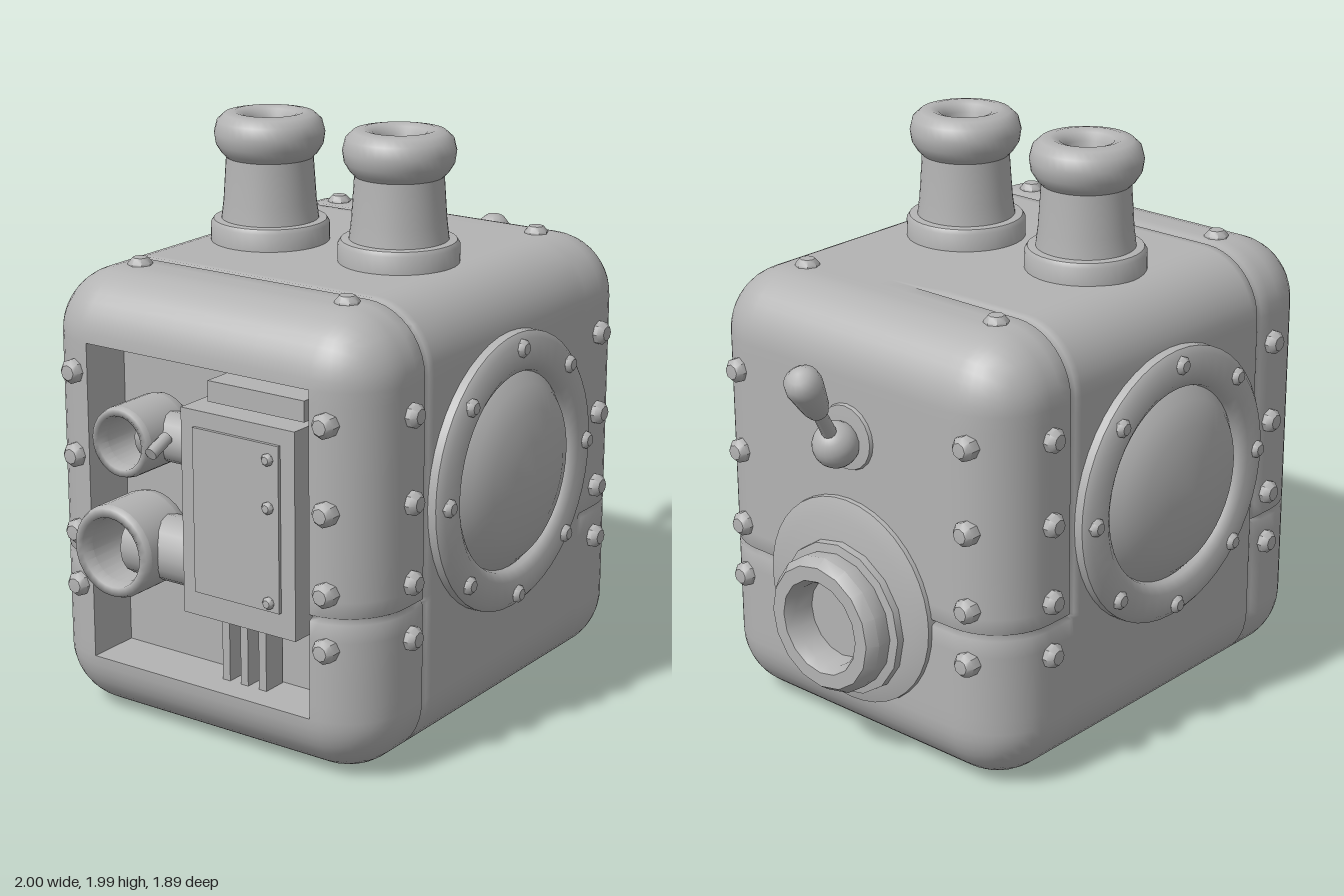
import * as THREE from 'three';
import { mergeVertices, toCreasedNormals } from 'three/addons/utils/BufferGeometryUtils.js';

const castMetal = new THREE.MeshStandardMaterial({ color: 0xb3b3b3 });
castMetal.name = 'castMetal';

const HALF = [0.82, 0.7725, 0.67], R = 0.22, MID = 0.7825; // body half sizes, edge radius, centre height
const INNER = HALF.map(h => h - R);
const SEAM = 0.49, SEAM_Y = 0.58 - MID;

// turn local +y to point along the given side of the body
const TURN = {
  up: [0, 0, 0], left: [0, 0, -Math.PI / 2], right: [0, 0, Math.PI / 2],
  front: [Math.PI / 2, 0, 0], back: [-Math.PI / 2, 0, 0],
};

function add(parent, name, geometry, pos = [0, 0, 0], side = 'up') {
  const mesh = new THREE.Mesh(geometry, castMetal);
  mesh.name = name;
  mesh.position.set(...pos);
  mesh.rotation.set(...TURN[side]);
  parent.add(mesh);
  return mesh;
}

function lathe(points, sides = 40) {
  const pts = points.map(p => new THREE.Vector2(...p));
  return toCreasedNormals(new THREE.LatheGeometry(pts, sides), 0.75);
}

// grid lines along one axis: fine in the rounded edges, with tight triples at seams
function gridLines(axis, seams) {
  const h = INNER[axis], lines = [];
  for (let i = 0; i <= 5; i++) {
    const c = h + R * Math.tan((i / 5) * Math.PI / 4);
    lines.push(-c, c);
  }
  lines.push(-h + 0.05, h - 0.05);
  for (let i = 1; i < 8; i++) lines.push(-h + (2 * h * i) / 8);
  const kept = lines.filter(v => !seams.some(s => Math.abs(v - s) < 0.03));
  for (const s of seams) kept.push(s - 0.011, s, s + 0.011);
  return kept.sort((a, b) => a - b);
}

// rounded box with seam grooves, a sunken underside and an opening in its right face
function bodyGeometry() {
  const lines = [gridLines(0, [-SEAM, SEAM]), gridLines(1, [SEAM_Y]), gridLines(2, [])];
  const positions = [], index = [];

  const place = p => {
    const c = p.map((v, i) => THREE.MathUtils.clamp(v, -INNER[i], INNER[i]));
    const n = new THREE.Vector3(p[0] - c[0], p[1] - c[1], p[2] - c[2]).normalize();
    const groove = p[0] === -SEAM
      || (p[0] === SEAM && p[2] < 0 && p[1] > SEAM_Y)
      || (p[1] === SEAM_Y && Math.abs(p[0]) >= SEAM);
    const q = n.multiplyScalar(groove ? R - 0.018 : R).add(new THREE.Vector3(...c));
    if (p[1] < -HALF[1] + 1e-6) {
      const rim = Math.min(INNER[0] - Math.abs(p[0]), INNER[2] - Math.abs(p[2]));
      q.y += 0.05 * THREE.MathUtils.smoothstep(rim, 0, 0.06);
    }
    positions.push(q.x, q.y + MID, q.z);
  };

  for (let d = 0; d < 3; d++) for (const s of [-1, 1]) {
    const u = (d + 1) % 3, v = (d + 2) % 3, U = lines[u], V = lines[v];
    const start = positions.length / 3;
    for (const b of V) for (const a of U) {
      const p = [0, 0, 0];
      p[d] = s * HALF[d]; p[u] = a; p[v] = b;
      place(p);
    }
    for (let j = 0; j < V.length - 1; j++) for (let i = 0; i < U.length - 1; i++) {
      const midU = (U[i] + U[i + 1]) / 2, midV = (V[j] + V[j + 1]) / 2;
      if (d === 0 && s < 0 && Math.abs(midU) < INNER[1] && Math.abs(midV) < INNER[2]) continue;
      const a = start + j * U.length + i, b = a + 1, e = a + U.length, c = e + 1;
      index.push(...(s > 0 ? [a, b, c, a, c, e] : [a, c, b, a, e, c]));
    }
  }
  const raw = new THREE.BufferGeometry();
  raw.setAttribute('position', new THREE.Float32BufferAttribute(positions, 3));
  raw.setIndex(index);
  const g = mergeVertices(raw, 1e-4);
  g.computeVertexNormals();
  return g;
}

// inside-out box without its outer face
function cavityGeometry(depth) {
  const g = new THREE.BoxGeometry(depth, INNER[1] * 2, INNER[2] * 2);
  g.scale(-1, 1, 1);
  g.setIndex(Array.from(g.index.array).slice(6));
  g.clearGroups();
  g.computeVertexNormals();
  return g;
}

export function createModel() {
  const model = new THREE.Group();
  model.name = 'boiler';
  model.rotation.y = 0.657;

  add(model, 'body', bodyGeometry());
  add(model, 'bottomDisc', lathe([[0.4, 0], [0.39, 0.012], [0.25, 0.03], [0, 0.04]]), [0, 0.055, 0]).rotation.x = Math.PI;

  // rivets in columns on all sides and at the corners of the top
  const rivet = lathe([[0.042, -0.02], [0.042, 0.016], [0.026, 0.034], [0, 0.036]], 8);
  for (const y of [0.48, 0.67, 0.94, 1.23]) for (const s of [-1, 1]) {
    for (const x of [-0.57, 0.59]) add(model, 'rivet', rivet, [x, y, s * HALF[2]], s > 0 ? 'front' : 'back');
    for (const z of [-0.51, 0.51]) add(model, 'rivet', rivet, [s * (HALF[0] - 0.004), y, z], s > 0 ? 'left' : 'right');
  }
  for (const x of [-0.57, 0.57]) for (const z of [-0.42, 0.42]) add(model, 'topRivet', rivet, [x, 1.545, z]);

  // portholes front and back
  const ring = lathe([[0.48, -0.02], [0.478, 0.03], [0.455, 0.05], [0.375, 0.055], [0.345, 0.035], [0.335, 0.0]], 48);
  const dome = lathe([[0.345, 0.01], [0.3, 0.052], [0.22, 0.085], [0.12, 0.108], [0, 0.116]], 48);
  for (const s of [-1, 1]) {
    const side = s > 0 ? 'front' : 'back', z = s * HALF[2];
    add(model, 'portholeRing', ring, [0, 0.89, z], side);
    add(model, 'portholeDome', dome, [0, 0.89, z], side);
    for (let i = 0; i < 8; i++) {
      const a = (i * Math.PI) / 4;
      add(model, 'ringRivet', rivet, [0.43 * Math.sin(a), 0.89 + 0.43 * Math.cos(a), z + s * 0.045], side).scale.setScalar(0.75);
    }
  }

  // two chimneys with rounded lips
  const chimney = lathe([
    [0.205, 0], [0.205, 0.07], [0.195, 0.085], [0.168, 0.087], [0.16, 0.15], [0.15, 0.3], [0.165, 0.315],
    [0.184, 0.345], [0.19, 0.385], [0.18, 0.425], [0.155, 0.448], [0.12, 0.455], [0.09, 0.445],
    [0.075, 0.42], [0.07, 0.3], [0, 0.3],
  ]);
  for (const z of [-0.285, 0.25]) add(model, 'chimney', chimney, [-0.03, 1.545, z]);

  // round outlet on the left face
  add(model, 'outletFlange', lathe([[0.365, -0.02], [0.36, 0.015], [0.3, 0.035], [0, 0.035]]), [HALF[0], 0.55, 0], 'left');
  add(model, 'outlet', lathe([
    [0.27, 0], [0.265, 0.06], [0.235, 0.065], [0.24, 0.12], [0.215, 0.155], [0.165, 0.155], [0.145, 0.12], [0.14, 0.05], [0, 0.05],
  ], 16), [HALF[0], 0.5, 0], 'left');

  // lever with ball joint
  add(model, 'leverPlate', lathe([[0.12, -0.02], [0.11, 0.012], [0, 0.02]], 20), [HALF[0], 1.13, 0], 'left');
  const lever = new THREE.Group();
  lever.name = 'lever';
  lever.position.set(0.875, 1.12, 0);
  lever.quaternion.setFromUnitVectors(new THREE.Vector3(0, 1, 0), new THREE.Vector3(0.21, 0.3, -0.07).normalize());
  model.add(lever);
  add(lever, 'leverBall', new THREE.SphereGeometry(0.078, 20, 14));
  add(lever, 'leverRod', new THREE.CylinderGeometry(0.022, 0.026, 0.24, 12), [0, 0.12, 0]);
  add(lever, 'leverHandle', lathe([
    [0, 0.19], [0.035, 0.195], [0.046, 0.23], [0.062, 0.34], [0.058, 0.375], [0.035, 0.4], [0, 0.408],
  ], 16));

  // cavity with machinery in the right face
  add(model, 'cavity', cavityGeometry(0.19), [-HALF[0] + 0.095, MID, 0]);
  add(model, 'machineBox', new THREE.BoxGeometry(0.22, 0.7, 0.45), [-0.75, 0.855, 0.2]);
  add(model, 'machineCover', new THREE.BoxGeometry(0.02, 0.56, 0.34), [-0.862, 0.87, 0.2]);
  add(model, 'topBracket', new THREE.BoxGeometry(0.15, 0.07, 0.38), [-0.74, 1.26, 0.24]);
  for (let i = 0; i < 3; i++) add(model, 'ventSlat', new THREE.BoxGeometry(0.09, 0.28, 0.03), [-0.68, 0.37, 0.04 + i * 0.075]);
  for (const y of [0.62, 0.94, 1.1]) add(model, 'coverRivet', rivet, [-0.872, y, 0.33], 'right').scale.setScalar(0.5);

  const pipe = lathe([
    [0.7, -0.25], [0.7, 0.02], [0.96, 0.03], [1, 0.06], [1, 0.24], [0.95, 0.26], [0.76, 0.26], [0.7, 0.22], [0.66, 0.06], [0, 0.06],
  ], 28);
  for (const [y, z, r] of [[1.05, -0.25, 0.12], [0.66, -0.3, 0.16]]) {
    add(model, 'pipe', pipe, [-0.64, y, z], 'right').scale.set(r, 1, r);
    add(model, 'pipeLink', new THREE.CylinderGeometry(r * 0.7, r * 0.7, -z, 16), [-0.74, y, z / 2], 'front');
  }
  add(model, 'valveKnob', new THREE.CylinderGeometry(0.022, 0.022, 0.09, 10), [-0.87, 1.06, -0.11], 'right').rotation.z += 0.4;

  const root = new THREE.Group();
  root.name = 'model';
  root.add(model);
  return root;
}
